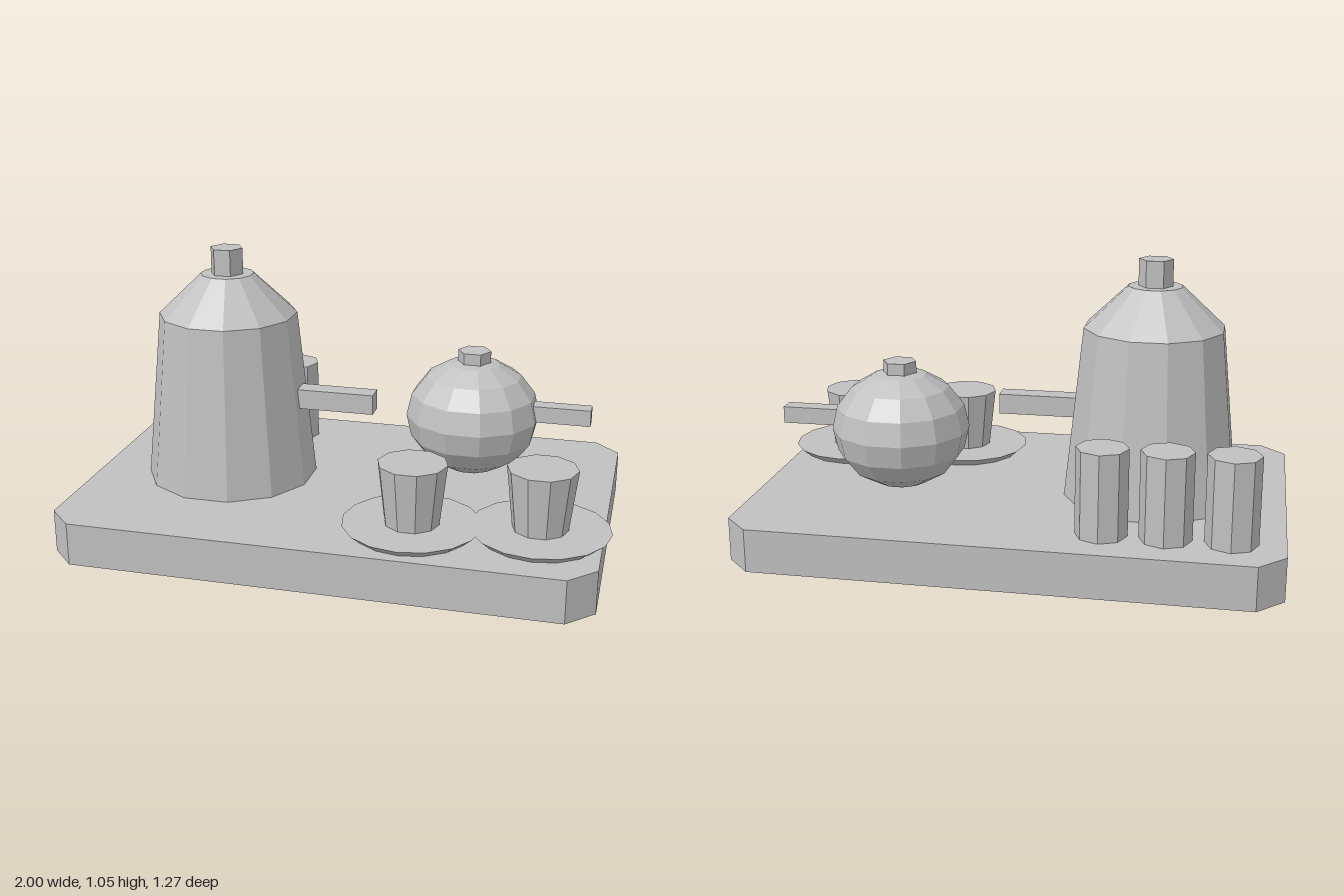
import * as THREE from 'three';

export function createModel() {
  const model = new THREE.Group();
  const grey = new THREE.MeshStandardMaterial({ color: 0xc0c0c0 });

  function add(geometry, name, x, y, z) {
    const flat = geometry.index ? geometry.toNonIndexed() : geometry;
    flat.computeVertexNormals();
    const mesh = new THREE.Mesh(flat, grey);
    mesh.name = name;
    mesh.position.set(x, y, z);
    model.add(mesh);
    return mesh;
  }

  // Faceted column between two heights; turn is the angle of its first corner
  function column(name, x, z, y0, y1, rBottom, rTop, sides, turn) {
    const g = new THREE.CylinderGeometry(rTop, rBottom, y1 - y0, sides);
    g.rotateY(turn);
    return add(g, name, x, (y0 + y1) / 2, z);
  }

  function box(name, x0, x1, y0, y1, z0, z1) {
    return add(new THREE.BoxGeometry(x1 - x0, y1 - y0, z1 - z0), name,
      (x0 + x1) / 2, (y0 + y1) / 2, (z0 + z1) / 2);
  }

  // Tray with cut corners
  const w = 0.9825, d = 0.635, c = 0.095;
  const outline = new THREE.Shape([
    [w - c, -d], [w, c - d], [w, d - c], [w - c, d],
    [c - w, d], [-w, d - c], [-w, c - d], [c - w, -d],
  ].map(([x, y]) => new THREE.Vector2(x, y)));
  const tray = new THREE.ExtrudeGeometry(outline, { depth: 0.16, bevelEnabled: false });
  tray.rotateX(-Math.PI / 2);
  add(tray, 'tray', -0.0175, 0, 0);

  // Tall coffee pot
  const eighth = Math.PI / 12, quarter = Math.PI / 2;
  const potX = -0.495;
  column('coffeePotBody', potX, 0, 0.16, 0.8, 0.326, 0.26, 12, eighth);
  column('coffeePotShoulder', potX, 0, 0.8, 0.952, 0.26, 0.1, 12, eighth);
  column('coffeePotKnob', potX, 0, 0.95, 1.05, 0.0625, 0.0625, 6, quarter);
  box('coffeePotHandle', -0.25, 0.075, 0.45, 0.525, -0.039, 0.037);

  // Round sugar pot
  const bowlX = 0.423, bowlZ = -0.16;
  const bowl = new THREE.SphereGeometry(1, 12, 8);
  bowl.rotateY(eighth);
  bowl.scale(0.254, 0.222, 0.254);
  add(bowl, 'roundPotBody', bowlX, 0.415, bowlZ);
  column('roundPotKnob', bowlX, bowlZ, 0.6, 0.67, 0.0625, 0.0625, 6, quarter);
  box('roundPotHandle', 0.63, 0.87, 0.415, 0.477, -0.19, -0.127);

  // Cups on saucers
  for (const [x, z] of [[0.3, 0.378], [0.745, 0.315]]) {
    column('saucer', x, z, 0.16, 0.19, 0.215, 0.25, 16, 0);
    column('cup', x, z, 0.18, 0.415, 0.098, 0.125, 10, quarter);
  }

  // Row of small canisters
  for (const x of [-0.813, -0.588, -0.365]) {
    column('canister', x, -0.446, 0.16, 0.477, 0.093, 0.093, 8, 0);
  }

  return model;
}
